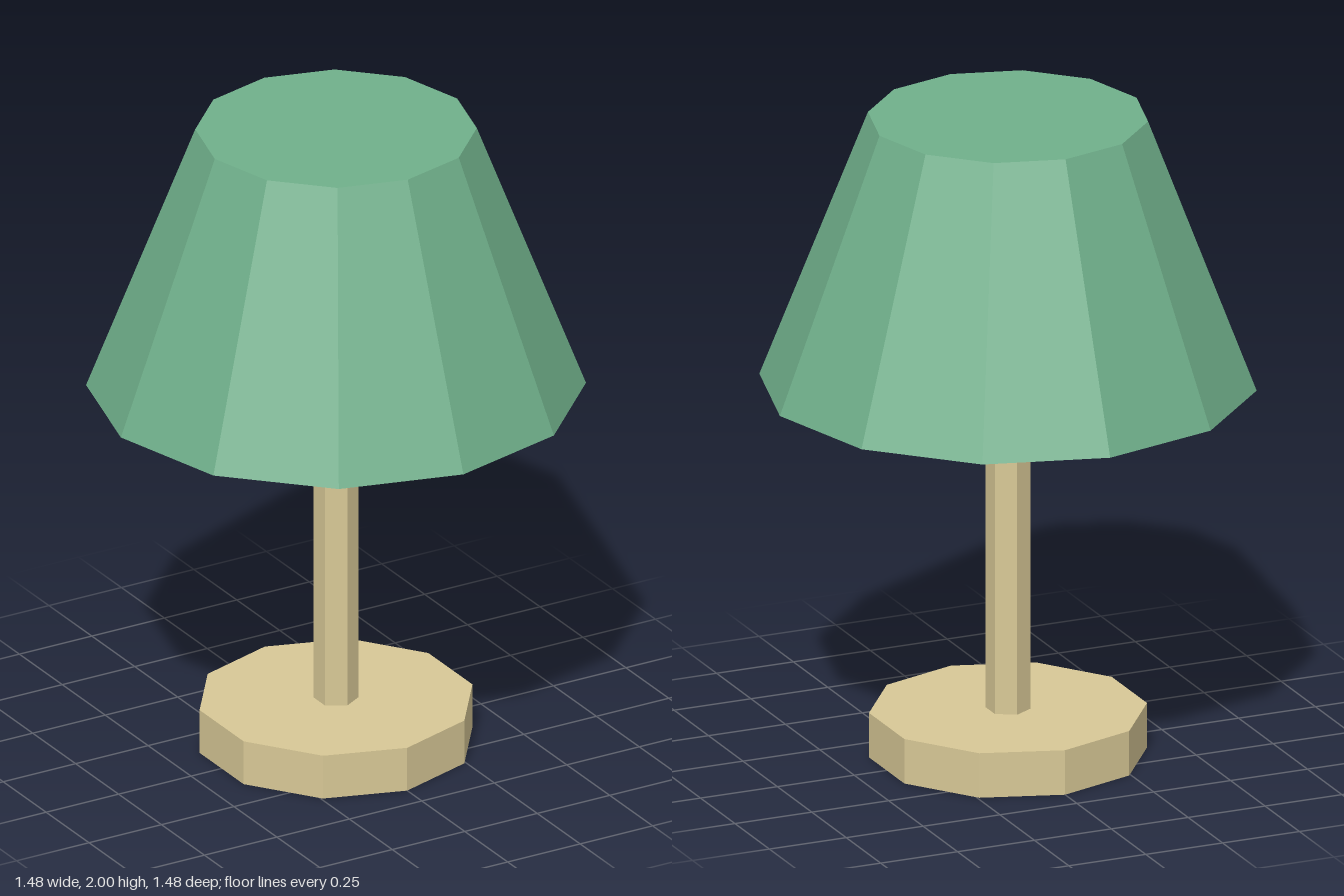
import * as THREE from 'three';

export function createModel() {
  const group = new THREE.Group();
  group.name = 'tableLamp';

  const wood = new THREE.MeshStandardMaterial({ color: 0xd8c896, flatShading: true });
  wood.name = 'pale wood';
  const fabric = new THREE.MeshStandardMaterial({ color: 0x70b08b, flatShading: true });
  fabric.name = 'green fabric';

  // Closed faceted column between two heights, with a corner facing +z
  function column(name, rTop, rBottom, y0, y1, sides, material) {
    const geometry = new THREE.CylinderGeometry(rTop, rBottom, y1 - y0, sides);
    const mesh = new THREE.Mesh(geometry, material);
    mesh.name = name;
    mesh.position.y = (y0 + y1) / 2;
    group.add(mesh);
  }

  column('base', 0.415, 0.415, 0, 0.14, 10, wood);
  column('stem', 0.067, 0.067, 0.14, 1.165, 6, wood);
  column('shade', 0.418, 0.742, 1.165, 2, 12, fabric);

  return group;
}
